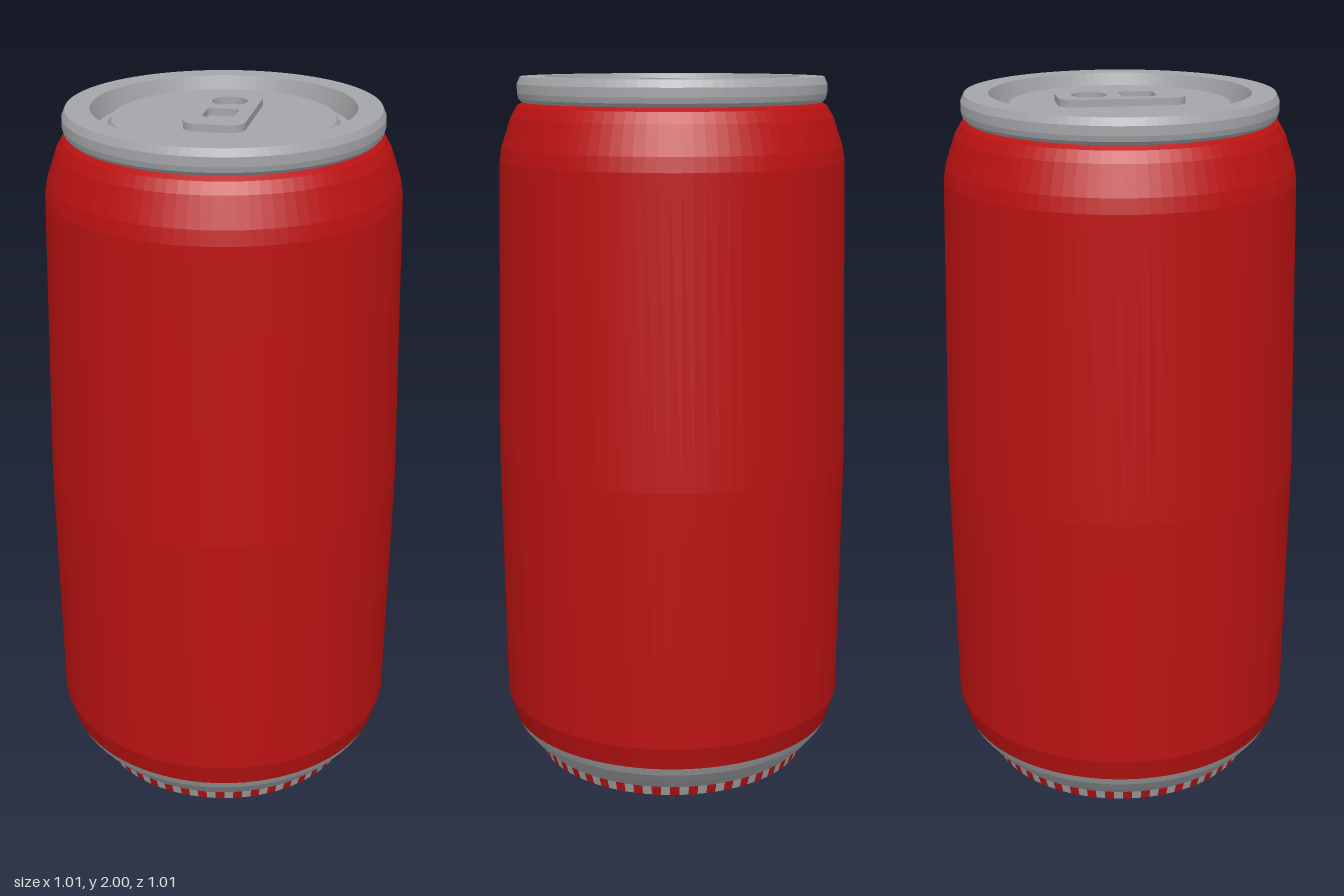
import * as THREE from 'three';
import { mergeGeometries } from 'three/addons/utils/BufferGeometryUtils.js';

const SEGMENTS = 96;

// Revolved profile (bottom to top) with crisp edges between its bands
function revolve(profile, start = 0, count = SEGMENTS) {
  const step = (Math.PI * 2) / SEGMENTS;
  const points = profile.map(([r, y]) => new THREE.Vector2(r, y));
  const geometry = new THREE.LatheGeometry(points, count, start * step, count * step).toNonIndexed();
  geometry.computeVertexNormals();
  return geometry;
}

// Merge the segments of a revolved profile for which test(i) holds
function revolveWhere(profile, test) {
  const pieces = [];
  for (let i = 0; i < SEGMENTS; i++) if (test(i)) pieces.push(revolve(profile, i, 1));
  return mergeGeometries(pieces);
}

// Rounded rectangle traced onto a Shape or Path
function roundedRect(path, x0, y0, x1, y1, r) {
  path.moveTo(x0 + r, y0);
  path.lineTo(x1 - r, y0);
  path.absarc(x1 - r, y0 + r, r, -Math.PI / 2, 0);
  path.lineTo(x1, y1 - r);
  path.absarc(x1 - r, y1 - r, r, 0, Math.PI / 2);
  path.lineTo(x0 + r, y1);
  path.absarc(x0 + r, y1 - r, r, Math.PI / 2, Math.PI);
  path.lineTo(x0, y0 + r);
  path.absarc(x0 + r, y0 + r, r, Math.PI, Math.PI * 1.5);
  return path;
}

export function createModel() {
  const group = new THREE.Group();
  const red = new THREE.MeshStandardMaterial({ color: 0xbb1212 });
  red.name = 'red paint';
  const metal = new THREE.MeshStandardMaterial({ color: 0xa3a5a8 });
  metal.name = 'bare metal';

  const add = (name, geometry, material) => {
    const mesh = new THREE.Mesh(geometry, material);
    mesh.name = name;
    group.add(mesh);
    return mesh;
  };

  // Painted wall with shoulder and neck
  add('body', revolve([
    [0.48, 0.12], [0.5, 0.19], [0.507, 0.93], [0.487, 1.77], [0.48, 1.81],
    [0.453, 1.89], [0.435, 1.92], [0.42, 1.93],
  ]), red);

  // Tapered metal band at the bottom
  add('baseBand', revolve([[0.41, 0.03], [0.44, 0.06], [0.468, 0.095], [0.48, 0.12]]), metal);

  // Foot ring with alternating stripes
  const foot = [[0.4, 0], [0.41, 0.03]];
  add('footRedStripes', revolveWhere(foot, (i) => i % 2 === 0), red);
  add('footMetalStripes', revolveWhere(foot, (i) => i % 2 === 1), metal);

  // Underside with radial wedges
  const underside = [[0, 0], [0.4, 0]];
  const isRed = (i) => i % 8 < 5;
  add('undersideRedWedges', revolveWhere(underside, isRed), red);
  add('undersideMetalWedges', revolveWhere(underside, (i) => !isRed(i)), metal);

  // Rolled rim, groove and recessed panel
  add('lid', revolve([
    [0.42, 1.93], [0.43, 1.94], [0.434, 1.955], [0.434, 1.98], [0.425, 2],
    [0.358, 2], [0.342, 1.945], [0.318, 1.945], [0.302, 1.972], [0, 1.972],
  ]), metal);

  // Pull tab with a round and a rounded square hole
  const tabShape = roundedRect(new THREE.Shape(), -0.083, -0.173, 0.083, 0.175, 0.042);
  const rivetHole = new THREE.Path();
  rivetHole.absarc(0, 0.085, 0.049, 0, Math.PI * 2, true);
  tabShape.holes.push(rivetHole, roundedRect(new THREE.Path(), -0.043, -0.095, 0.043, 0, 0.018));
  const tabGeometry = new THREE.ExtrudeGeometry(tabShape, { depth: 0.02, bevelEnabled: false, curveSegments: 12 });
  tabGeometry.rotateX(-Math.PI / 2);
  add('pullTab', tabGeometry, metal).position.y = 1.972;

  return group;
}
